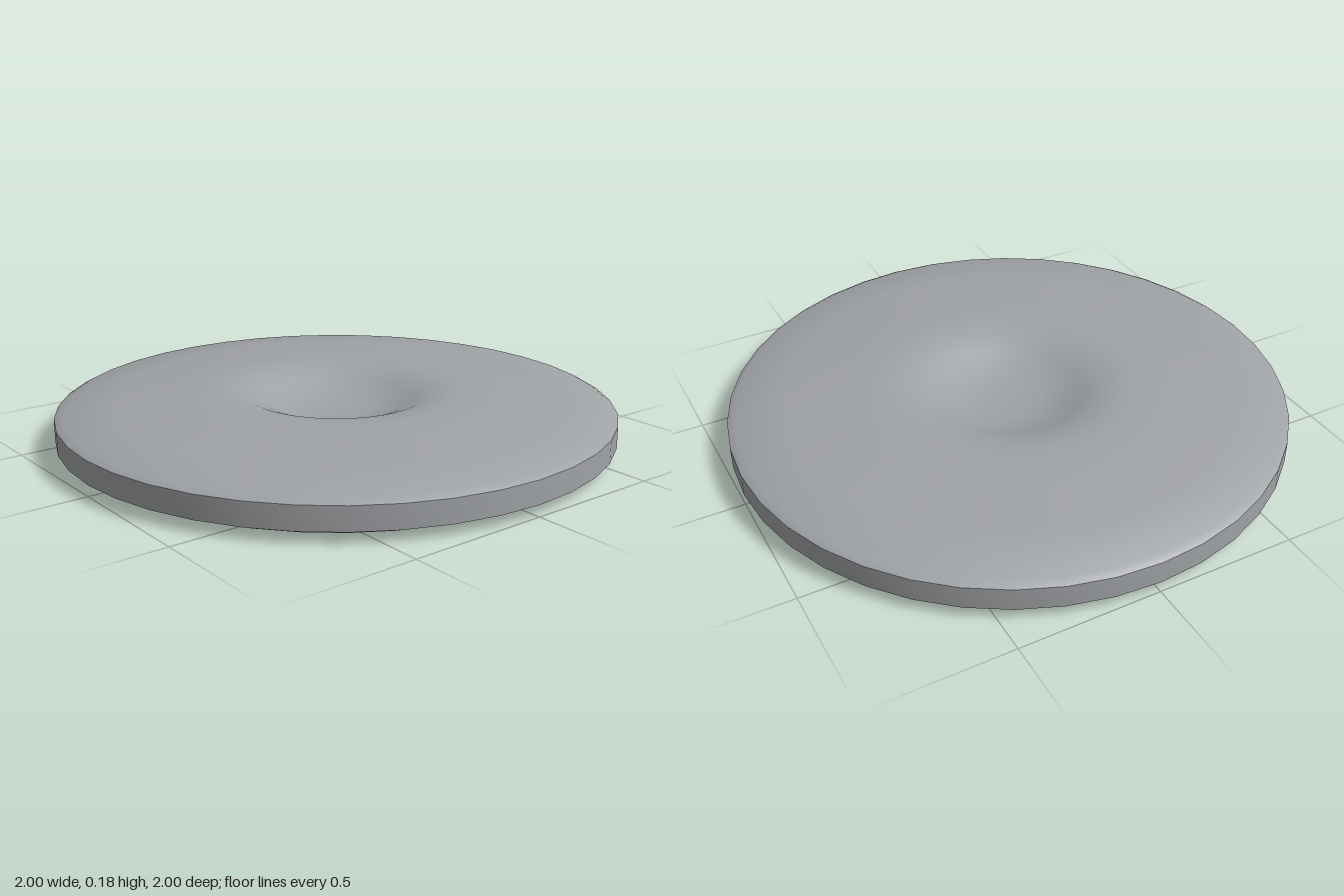
import * as THREE from 'three';
import { toCreasedNormals } from 'three/addons/utils/BufferGeometryUtils.js';

export function createModel() {
  const model = new THREE.Group();
  model.name = 'dishedCover';
  const grey = new THREE.MeshStandardMaterial({ color: 0xa0a3a6 });
  grey.name = 'satin grey';

  // Turns a [radius, height] profile; profiles run from the underside outwards and up
  function turned(name, profile, sides, crease = 0.5) {
    const points = profile.map(([r, y]) => new THREE.Vector2(r, y));
    const geometry = toCreasedNormals(new THREE.LatheGeometry(points, sides), crease);
    const mesh = new THREE.Mesh(geometry, grey);
    mesh.name = name;
    return mesh;
  }

  // Domed disc with a shallow bowl pressed into its centre
  model.add(turned('coverDisc', [
    [0, 0.07], [0.15, 0.073], [0.3, 0.084], [0.46, 0.092],
    [0.89, 0.085], [0.9, 0.04], [1, 0.04], [1, 0.122], [0.975, 0.136],
    [0.8, 0.153], [0.6, 0.17], [0.47, 0.18], [0.4, 0.178], [0.33, 0.168],
    [0.27, 0.145], [0.2, 0.113], [0.12, 0.098], [0, 0.095],
  ], 40));

  // Thin locating skirt below the disc
  model.add(turned('lowerSkirt', [
    [0.87, 0.09], [0.89, 0], [0.91, 0], [0.91, 0.045],
  ], 40));

  // Tapered collar round the underside of the bowl
  model.add(turned('innerCollar', [
    [0.45, 0.095], [0.455, 0.035], [0.475, 0.02], [0.495, 0.025], [0.53, 0.06], [0.53, 0.09],
  ], 28));

  // Three hexagonal bosses with round tips
  for (let i = 0; i < 3; i++) {
    const angle = THREE.MathUtils.degToRad(25 + i * 120);
    const boss = new THREE.Group();
    boss.name = 'boss' + (i + 1);
    boss.add(turned('bossBase', [
      [0, 0.035], [0.075, 0.035], [0.115, 0.07], [0.115, 0.092],
    ], 6));
    boss.add(turned('bossTip', [
      [0, 0.018], [0.065, 0.018], [0.07, 0.024], [0.07, 0.04],
    ], 16));
    boss.position.set(0.74 * Math.cos(angle), 0, 0.74 * Math.sin(angle));
    boss.rotation.y = -angle;
    model.add(boss);
  }

  return model;
}
